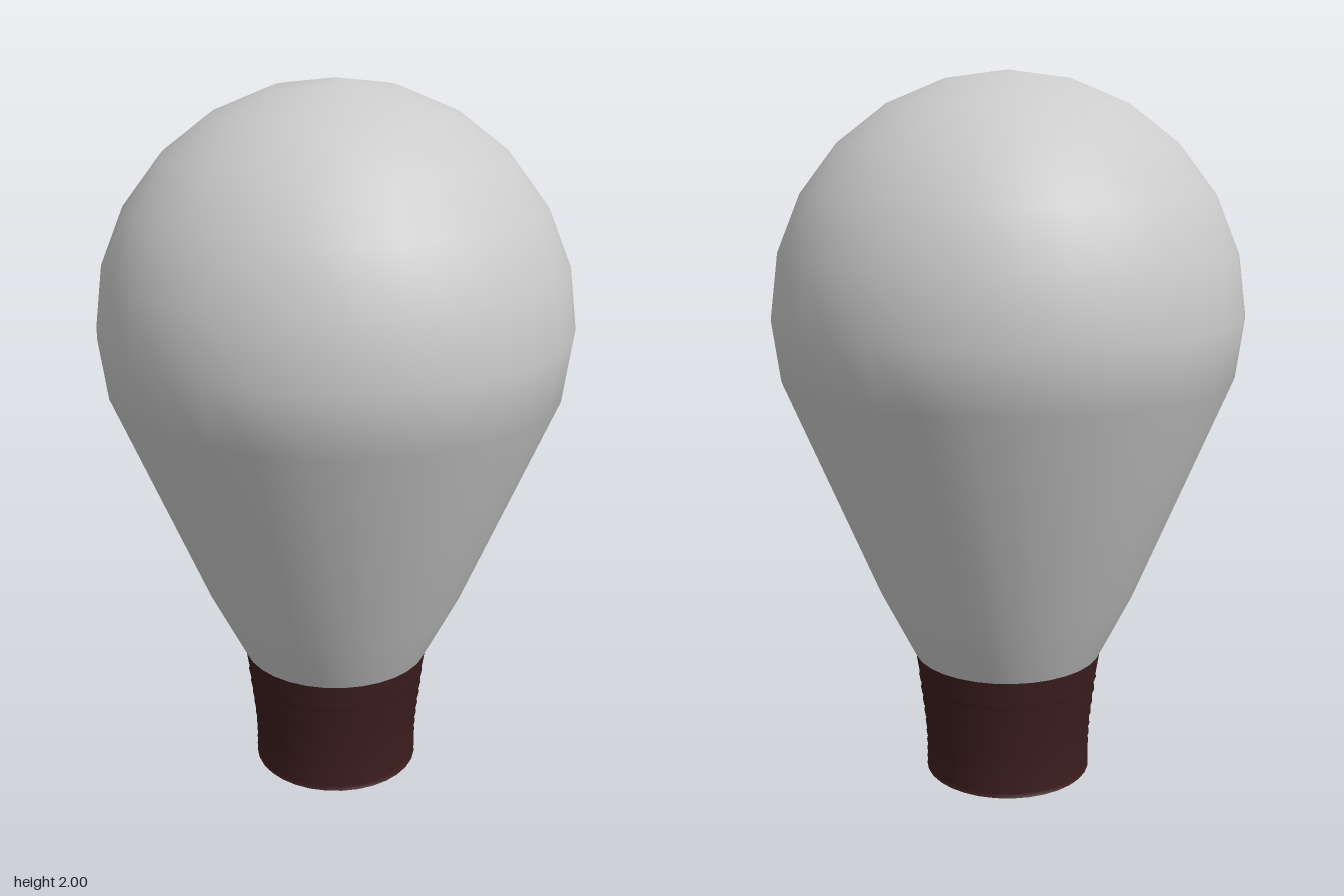
import * as THREE from 'three';

const SIDES = 32;

// Smooth solid of revolution; points run from bottom to top
function lathe(name, points, material) {
  const geometry = new THREE.LatheGeometry(points.map(([r, y]) => new THREE.Vector2(r, y)), SIDES);
  const mesh = new THREE.Mesh(geometry, material);
  mesh.name = name;
  return mesh;
}

export function createModel() {
  const group = new THREE.Group();
  group.name = 'lightBulb';
  const glass = new THREE.MeshStandardMaterial({ color: 0xcccccc, side: THREE.DoubleSide });
  const metal = new THREE.MeshStandardMaterial({ color: 0x3d1e1e, side: THREE.DoubleSide });

  // Glass: tapered neck, then a ball in 15 degree steps up to the crown
  const bulb = [[0.27, 0.36], [0.37, 0.56]];
  for (let i = -1; i <= 6; i++) {
    const a = i * Math.PI / 12;
    bulb.push([Math.max(0, 0.65 * Math.cos(a)), 1.35 + 0.65 * Math.sin(a)]);
  }
  group.add(lathe('glassBulb', bulb, glass));

  // Screw base: shallow ribs, closer together towards the bottom
  const ribs = [0, 0.022, 0.047, 0.074, 0.103, 0.135, 0.17, 0.205, 0.242, 0.282];
  const radiusAt = (y) => 0.24 + 0.022 * THREE.MathUtils.smoothstep(y, 0.06, 0.4) * 1.3;
  const thread = [];
  for (let i = 0; i < ribs.length; i++) {
    const y = ribs[i];
    thread.push([radiusAt(y), y]);
    if (i < ribs.length - 1) {
      const mid = (y + ribs[i + 1]) / 2;
      thread.push([radiusAt(mid) - 0.006, mid]);
    }
  }
  thread.push([0.259, 0.29], [0.27, 0.36]);
  group.add(lathe('screwBase', thread, metal));

  // Flat underside
  const cap = new THREE.Mesh(new THREE.CircleGeometry(0.24, SIDES), metal);
  cap.name = 'baseCap';
  cap.rotation.x = Math.PI / 2;
  group.add(cap);

  return group;
}
